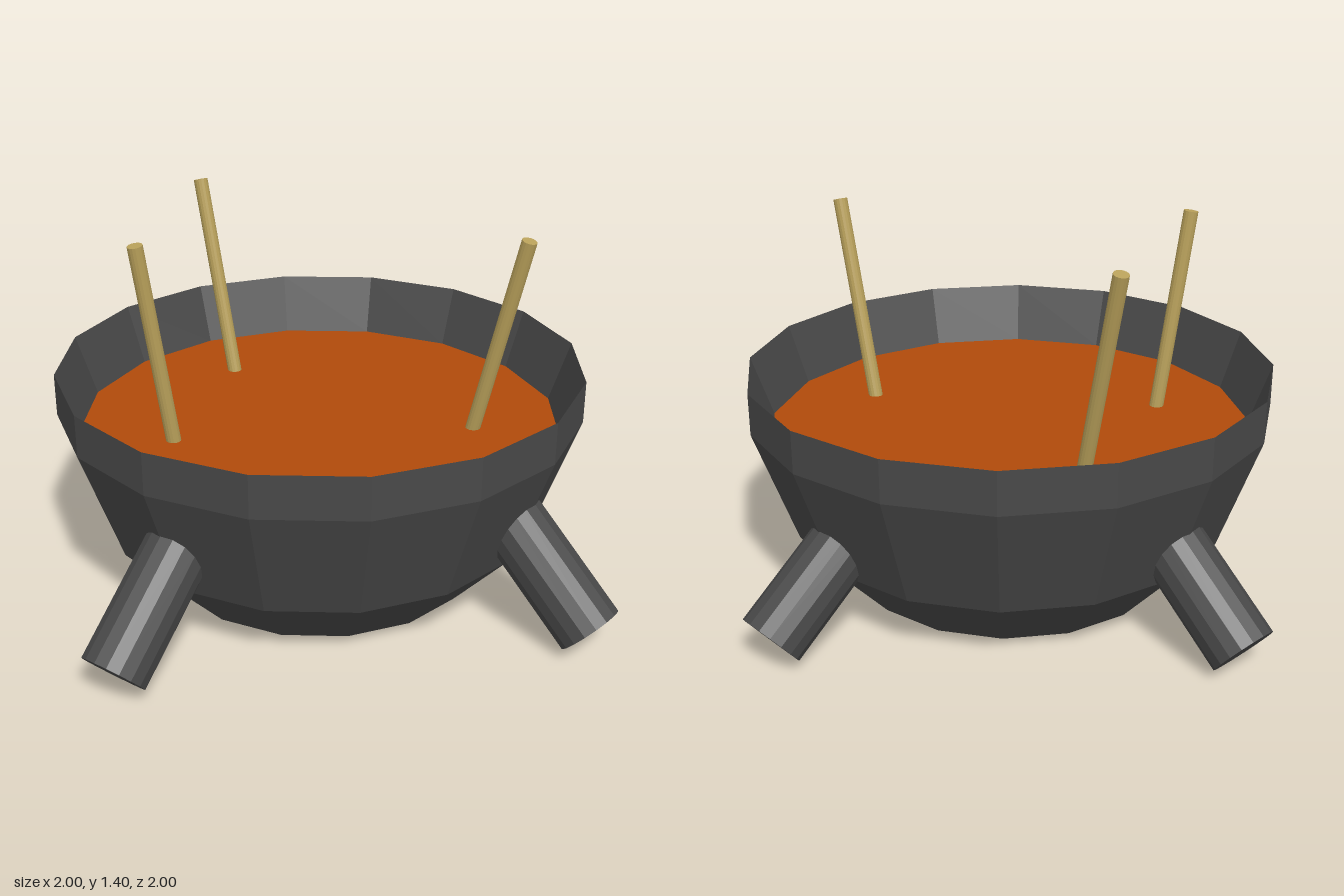
import * as THREE from 'three';

const SIDES = 16;
const paint = (color) => new THREE.MeshStandardMaterial({ color, flatShading: true });

// Cylinder running between two points
function rod(name, from, to, radius, sides, material) {
  const axis = to.clone().sub(from);
  const mesh = new THREE.Mesh(new THREE.CylinderGeometry(radius, radius, axis.length(), sides), material);
  mesh.position.copy(from).add(to).multiplyScalar(0.5);
  mesh.quaternion.setFromUnitVectors(new THREE.Vector3(0, 1, 0), axis.normalize());
  mesh.name = name;
  return mesh;
}

export function createModel() {
  const model = new THREE.Group();
  model.name = 'fonduePot';
  const iron = paint(0x484848);
  const wood = paint(0xb8a05a);
  const v = (x, y, z) => new THREE.Vector3(x, y, z);

  // Bowl: outside from the base up, over the sharp rim, down to the filling
  const profile = [[0, 0.01], [0.625, 0.01], [0.845, 0.25], [1, 0.69], [1, 0.85], [0.92, 0.62]]
    .map(([r, y]) => new THREE.Vector2(r, y));
  const bowl = new THREE.Mesh(new THREE.LatheGeometry(profile, SIDES), iron);
  bowl.name = 'bowl';
  model.add(bowl);

  // Filling
  const filling = new THREE.Mesh(new THREE.CircleGeometry(0.92, SIDES).rotateX(-Math.PI / 2), paint(0xb04a0a));
  filling.position.y = 0.62;
  filling.name = 'filling';
  model.add(filling);

  // Splayed legs: foot centre, then inward run in x and z per unit of rise
  const legs = [
    ['frontLeftLeg', v(0.83, 0.1, 0.855), v(-0.7, 1, -0.77)],
    ['frontRightLeg', v(-0.845, 0.1, 0.85), v(0.77, 1, -0.77)],
    ['backLeftLeg', v(0.8, 0.1, -0.81), v(-0.87, 1, 0.86)],
    ['backRightLeg', v(-0.835, 0.1, -0.815), v(0.85, 1, 0.85)],
  ];
  for (const [name, foot, lean] of legs) {
    const top = foot.clone().addScaledVector(lean.normalize(), 0.56);
    model.add(rod(name, foot, top, 0.122, SIDES, iron));
  }

  // Dipping sticks standing in the filling
  const sticks = [
    [v(-0.575, 0.61, 0.145), v(-0.68, 1.393, 0.2)],
    [v(-0.28, 0.61, -0.5), v(-0.383, 1.395, -0.67)],
    [v(0.55, 0.61, 0.215), v(0.682, 1.39, 0.357)],
  ];
  sticks.forEach(([a, b], i) => model.add(rod(`stick${i + 1}`, a, b, 0.028, SIDES, wood)));

  return model;
}
